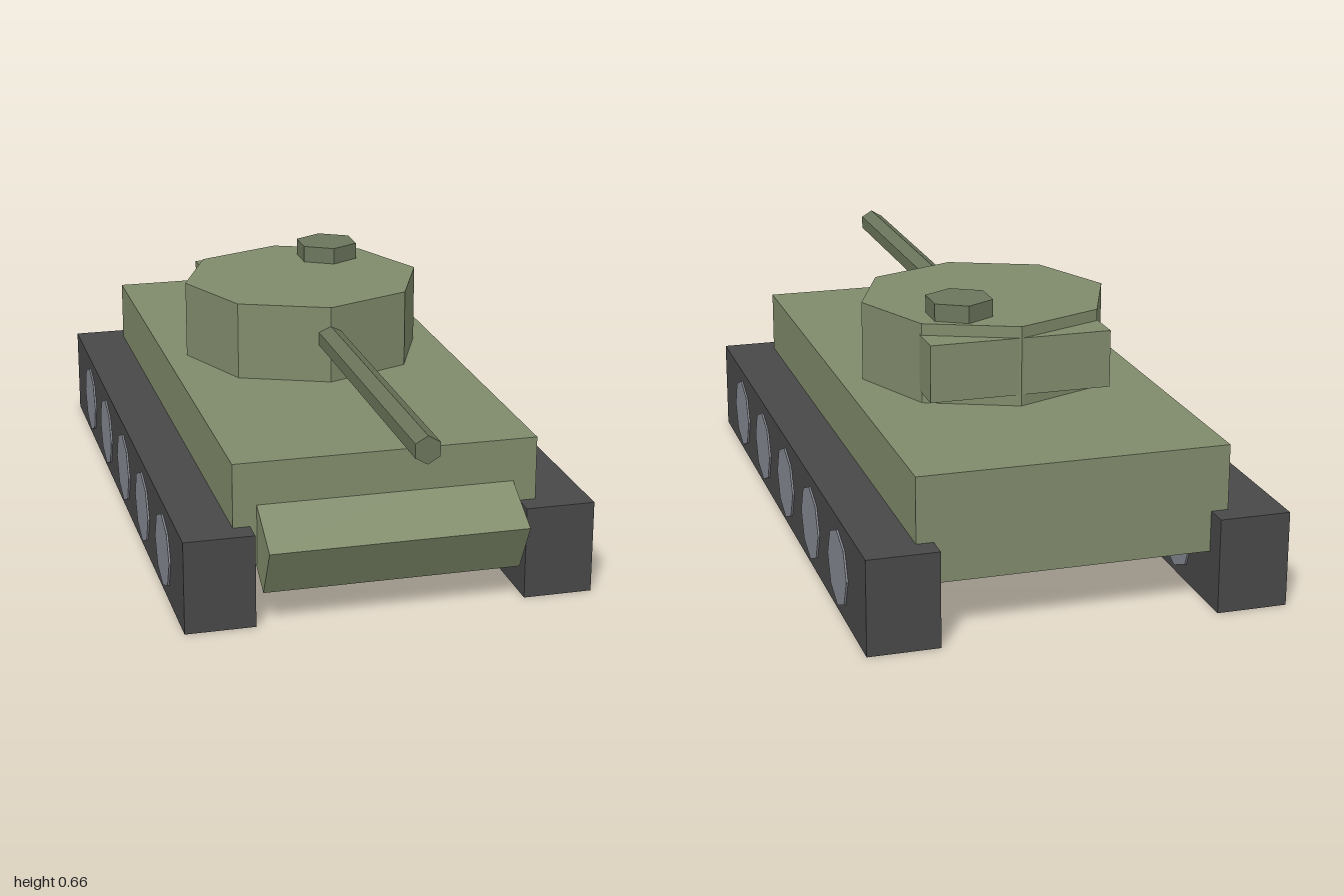
import * as THREE from 'three';

const paint = (color) => new THREE.MeshStandardMaterial({ color, flatShading: true });

export function createModel() {
  const model = new THREE.Group();
  const green = paint(0x808b6b);
  const darkGreen = paint(0x6b755b);
  const trackGrey = paint(0x484849);
  const wheelGrey = paint(0x858891);

  function add(name, geometry, material, x, y, z, parent = model) {
    const mesh = new THREE.Mesh(geometry, material);
    mesh.name = name;
    mesh.position.set(x, y, z);
    parent.add(mesh);
    return mesh;
  }

  // Hull with a tilted nose plate block
  add('hull', new THREE.BoxGeometry(0.776, 0.268, 1.61), green, 0, 0.271, -0.135);
  const nose = new THREE.BoxGeometry(0.656, 0.148, 0.26);
  nose.translate(0, -0.074, -0.13); // pivot on the top front edge
  add('nosePlate', nose, green, 0, 0.22, 0.806).rotation.x = 0.5;

  // Tracks, with wheels showing slightly on both faces
  const track = new THREE.BoxGeometry(0.178, 0.24, 1.73);
  const wheel = new THREE.CylinderGeometry(0.097, 0.097, 0.187, 8).rotateZ(Math.PI / 2);
  for (const side of [-1, 1]) {
    const group = new THREE.Group();
    group.name = side > 0 ? 'leftTrack' : 'rightTrack';
    model.add(group);
    add('track', track, trackGrey, side * 0.434, 0.12, -0.135, group);
    for (let i = 0; i < 5; i++) {
      add('wheel', wheel, wheelGrey, side * 0.434, 0.114, 0.466 - i * 0.299, group);
    }
  }

  // Turret with rear box, hatch and gun
  const turret = new THREE.Group();
  turret.name = 'turret';
  model.add(turret);
  add('turretBody', new THREE.CylinderGeometry(0.328, 0.328, 0.208, 8), green, 0, 0.508, -0.198, turret);
  add('turretRearBox', new THREE.BoxGeometry(0.47, 0.148, 0.22), green, 0, 0.508, -0.414, turret);
  add('hatch', new THREE.CylinderGeometry(0.088, 0.088, 0.05, 6), darkGreen, 0.118, 0.632, -0.375, turret);
  const barrel = new THREE.CylinderGeometry(0.035, 0.035, 0.88, 6).rotateX(Math.PI / 2);
  add('gunBarrel', barrel, darkGreen, 0, 0.525, 0.56, turret);

  return model;
}
